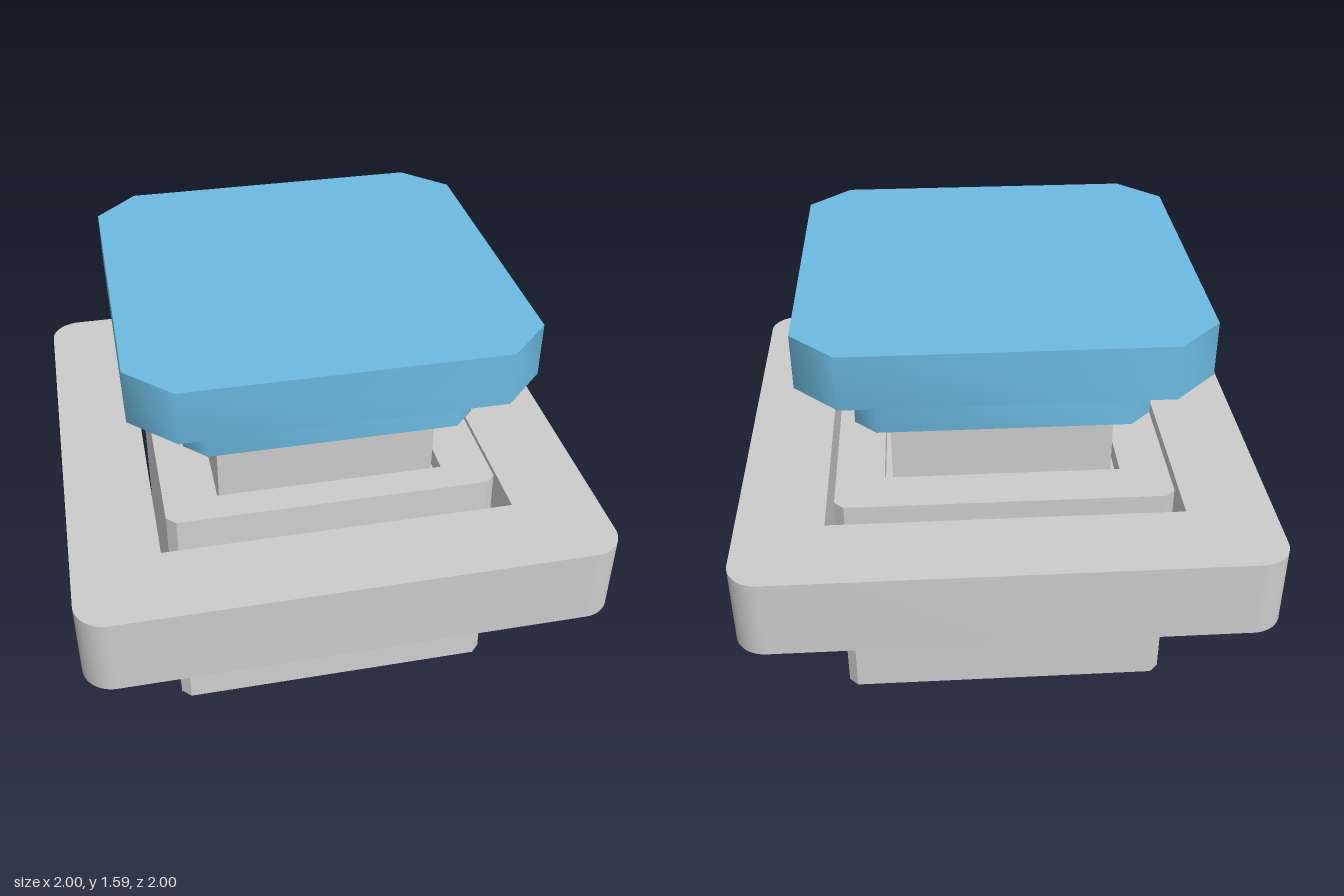
import * as THREE from 'three';
import { toCreasedNormals } from 'three/addons/utils/BufferGeometryUtils.js';

const grey = new THREE.MeshStandardMaterial({ color: 0xcccccc });
grey.name = 'light grey';
const blue = new THREE.MeshStandardMaterial({ color: 0x6dbae0 });
blue.name = 'sky blue';
const steel = new THREE.MeshStandardMaterial({ color: 0x94a6b4 });
steel.name = 'steel';

// Square outline with chamfered or rounded corners
function square(half, cut, rounded, Type = THREE.Shape) {
  const s = new Type(), k = half - cut;
  if (rounded) {
    [[k, k], [-k, k], [-k, -k], [k, -k]].forEach(([x, y], i) =>
      s.absarc(x, y, cut, i * Math.PI / 2, (i + 1) * Math.PI / 2, false));
  } else {
    s.setFromPoints([[half, -k], [half, k], [k, half], [-k, half],
      [-half, k], [-half, -k], [-k, -half], [k, -half]]
      .map(([x, y]) => new THREE.Vector2(x, y)));
  }
  s.closePath();
  return s;
}

function squareHole(half) {
  return new THREE.Path([[-half, -half], [-half, half], [half, half], [half, -half]]
    .map(([x, y]) => new THREE.Vector2(x, y)));
}

// Upright slab from y0 to y1
function slab(shape, y0, y1) {
  const g = new THREE.ExtrudeGeometry(shape, { depth: y1 - y0, bevelEnabled: false, curveSegments: 24 });
  g.rotateX(-Math.PI / 2);
  g.translate(0, y0, 0);
  return g;
}

// The front wall of the housing leans back towards the top
function leanFront(g) {
  const p = g.attributes.position;
  for (let i = 0; i < p.count; i++) {
    if (p.getZ(i) > 0.55) p.setZ(i, p.getZ(i) - 0.01 - 0.055 * p.getY(i));
  }
  g.computeVertexNormals();
  return g;
}

export function createModel() {
  const model = new THREE.Group();
  const add = (name, geometry, material, crease = 0.9) => {
    const mesh = new THREE.Mesh(toCreasedNormals(geometry, crease), material);
    mesh.name = name;
    model.add(mesh);
    return mesh;
  };

  // Mounting plate with a clearance opening
  const plate = square(1, 0.12, true);
  plate.holes.push(squareHole(0.67));
  add('mountingPlate', slab(plate, 0.53, 0.845), grey);

  // Housing with a round bore, and a collar around the stem
  const body = square(0.635, 0.035);
  const bore = new THREE.Path();
  bore.absarc(0, 0, 0.22, 0, Math.PI * 2, true);
  body.holes.push(bore);
  add('housing', leanFront(slab(body, 0, 0.82)), grey, 0.5);
  const collar = square(0.635, 0.035);
  collar.holes.push(squareHole(0.45));
  add('housingCollar', leanFront(slab(collar, 0.82, 0.895)), grey, 0.5);

  // Disc recessed in the underside
  const disc = new THREE.CylinderGeometry(0.22, 0.22, 0.04, 40).toNonIndexed();
  disc.translate(0, 0.06, 0);
  add('baseDisc', disc, steel);

  // Stem, a channel open towards +x
  const stem = new THREE.Shape([[0.42, -0.42], [0.42, -0.26], [-0.27, -0.26], [-0.27, 0.26],
    [0.42, 0.26], [0.42, 0.42], [-0.42, 0.42], [-0.42, -0.42]]
    .map(([x, y]) => new THREE.Vector2(x, y)));
  add('stem', slab(stem, 0.82, 1.16), grey);

  // Two-step cap with cut corners
  add('capNeck', slab(square(0.545, 0.08), 1.16, 1.38), blue);
  add('capTop', slab(square(0.74, 0.16), 1.38, 1.585), blue);

  return model;
}
